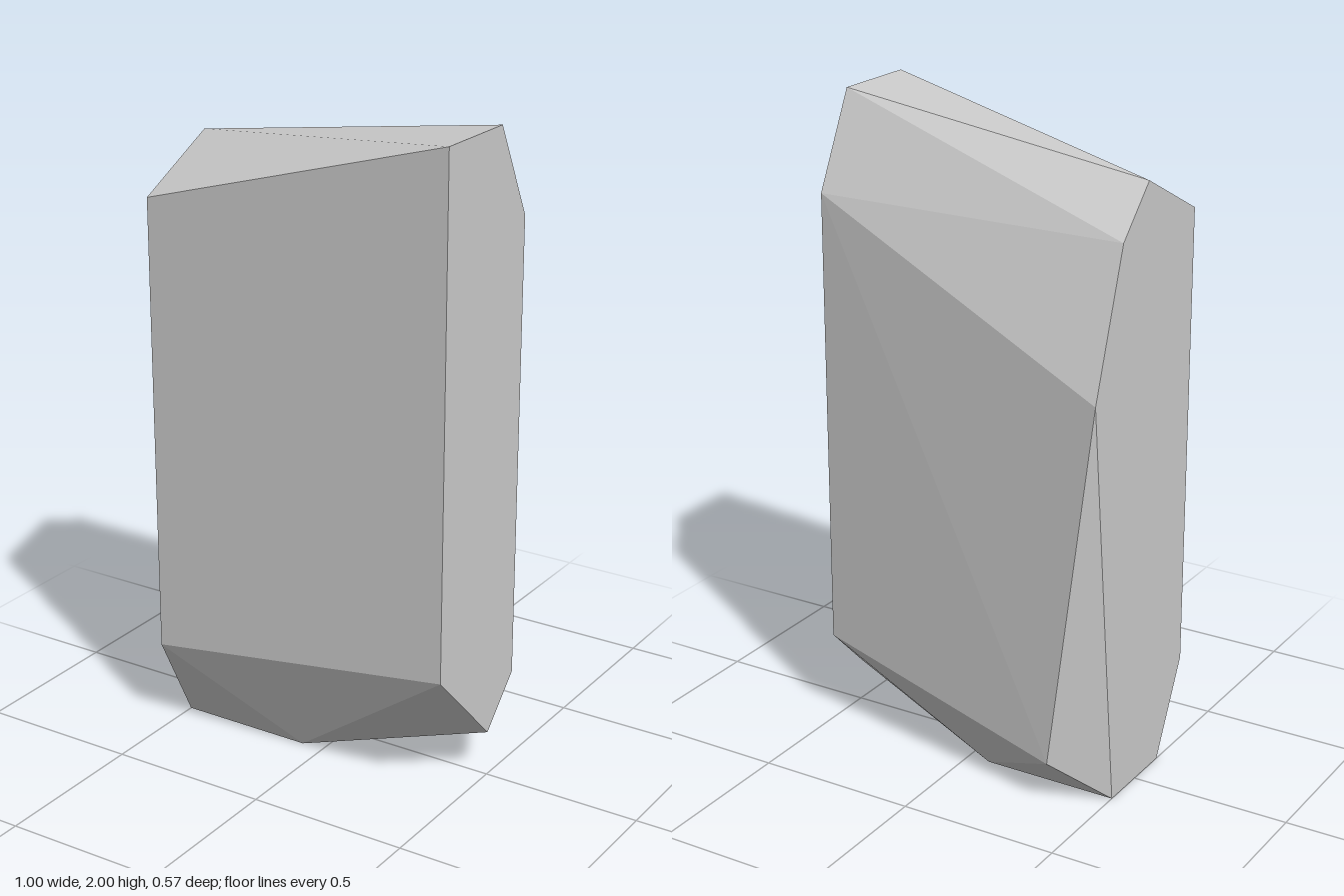
import * as THREE from 'three';
import { ConvexGeometry } from 'three/addons/geometries/ConvexGeometry.js';

// Corners are laid out on a grid of sevenths of a unit
const UNIT = 1 / 7;

// Outlines as [z, y] pairs at a given x
const sections = [
  // left end face
  { x: 3.5, outline: [[2, 14], [0, 14], [-1, 12], [-1, 2], [0, 1], [2, 3]] },
  // bottom ridge
  { x: -0.5, outline: [[1, 0], [-1, 0]] },
  // lower back corner
  { x: -2.5, outline: [[-2, 1]] },
  // right end face
  { x: -3.5, outline: [[2, 12], [0, 13], [-1, 12], [-2, 9], [-1, 0], [1, 0], [2, 2]] },
];

export function createModel() {
  const group = new THREE.Group();
  group.name = 'rock';

  const corners = sections.flatMap(({ x, outline }) =>
    outline.map(([z, y]) => new THREE.Vector3(x, y, z)));

  // Faceted stone slab: the convex skin around all corners
  const geometry = new ConvexGeometry(corners);
  geometry.scale(UNIT, UNIT, UNIT);

  const stone = new THREE.Mesh(
    geometry,
    new THREE.MeshStandardMaterial({ color: 0xcccccc, flatShading: true }),
  );
  stone.name = 'stoneSlab';
  group.add(stone);
  return group;
}
